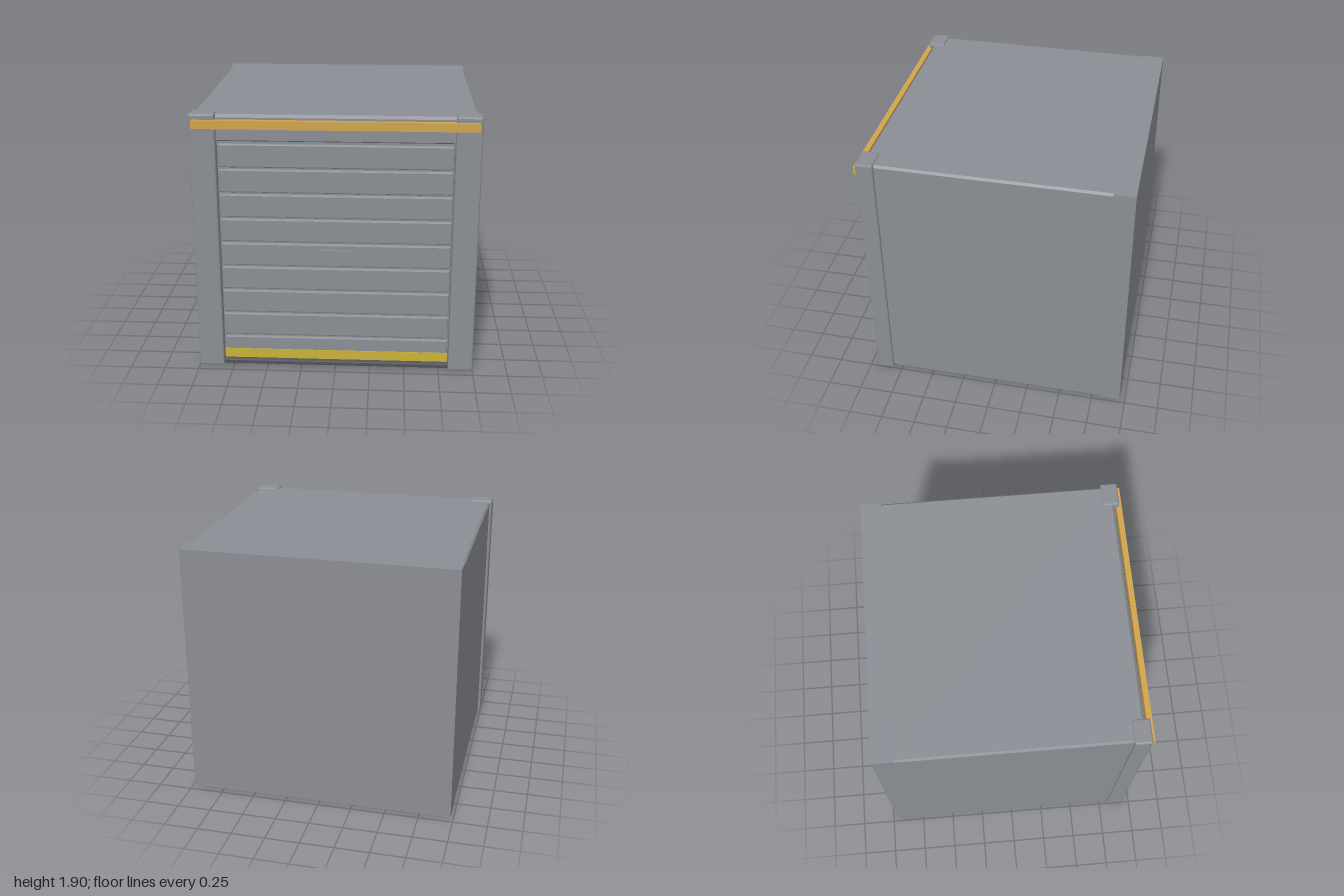
import * as THREE from 'three';
import { RoundedBoxGeometry } from 'three/addons/geometries/RoundedBoxGeometry.js';

function colour(name, hex) {
  const m = new THREE.MeshStandardMaterial({ color: hex });
  m.name = name;
  return m;
}

export function createModel() {
  const steel = colour('steel grey', 0x8b8e94);
  const dark = colour('dark rubber', 0x53555a);
  const orange = colour('orange', 0xd0a54c);
  const yellow = colour('yellow', 0xcab238);

  const model = new THREE.Group();
  model.name = 'shutterUnit';

  function add(name, geometry, material, parent = model) {
    const mesh = new THREE.Mesh(geometry, material);
    mesh.name = name;
    parent.add(mesh);
    return mesh;
  }

  // Box given by its limits on each axis, optionally with chamfered edges
  function box(name, [x0, x1], [y0, y1], [z0, z1], material, chamfer = 0, parent = model) {
    const size = [x1 - x0, y1 - y0, z1 - z0];
    const g = chamfer ? new RoundedBoxGeometry(...size, 1, chamfer) : new THREE.BoxGeometry(...size);
    if (chamfer) g.computeVertexNormals();
    g.translate((x0 + x1) / 2, (y0 + y1) / 2, (z0 + z1) / 2);
    return add(name, g, material, parent);
  }

  // Main body: chamfered long edges, with a square slab at the back
  const w = 0.98, c = 0.015, lo = 0.01, hi = 1.89;
  const section = new THREE.Shape([
    [-w + c, lo], [w - c, lo], [w, lo + c], [w, hi - c],
    [w - c, hi], [-w + c, hi], [-w, hi - c], [-w, lo + c],
  ].map(([x, y]) => new THREE.Vector2(x, y)));
  const bodyGeometry = new THREE.ExtrudeGeometry(section, { depth: 1.65, bevelEnabled: false });
  bodyGeometry.translate(0, 0, -0.81);
  add('body', bodyGeometry, steel);
  box('backSlab', [-w, w], [lo, hi], [-0.96, -0.81], steel);
  box('floorPlate', [-0.85, 0.85], [0.004, 0.011], [-0.81, 0.82], dark);

  // Corner posts at the front
  for (const s of [-1, 1]) {
    box(s > 0 ? 'leftPost' : 'rightPost', s > 0 ? [0.82, 1] : [-1, -0.82],
      [0, 1.9], [0.815, 0.94], steel, 0.013);
  }

  // Header above the door, with a sloped front edge
  const header = new THREE.Shape([
    [0.82, 1.71], [0.905, 1.71], [0.905, 1.87], [0.885, 1.89], [0.82, 1.89],
  ].map(([z, y]) => new THREE.Vector2(-z, y)).reverse());
  const headerGeometry = new THREE.ExtrudeGeometry(header, { depth: 1.66, bevelEnabled: false });
  headerGeometry.translate(0, 0, -0.83);
  headerGeometry.rotateY(Math.PI / 2);
  add('header', headerGeometry, steel);
  box('headerBar', [-0.98, 0.98], [1.8, 1.86], [0.92, 0.96], orange);

  // Roller door: backing sheet and nine chamfered slats
  const door = new THREE.Group();
  door.name = 'rollerDoor';
  model.add(door);
  box('backing', [-0.83, 0.83], [0.02, 1.72], [0.82, 0.873], steel, 0, door);
  for (let i = 0; i < 9; i++) {
    const y = 0.05 + i * 0.1825;
    box('slat', [-0.815, 0.815], [y, y + 0.17], [0.85, 0.892], steel, 0.01, door);
  }
  box('slot', [-0.815, 0.815], [1.697, 1.71], [0.87, 0.876], dark, 0, door);
  box('handlePlate', [-0.11, 0.11], [0.83, 0.91], [0.885, 0.91], steel, 0, door);
  box('warningStrip', [-0.815, 0.815], [0.05, 0.12], [0.89, 0.898], yellow, 0, door);

  // Sill under the door
  box('sill', [-0.825, 0.825], [0.01, 0.045], [0.82, 0.923], dark, 0.008);

  return model;
}
